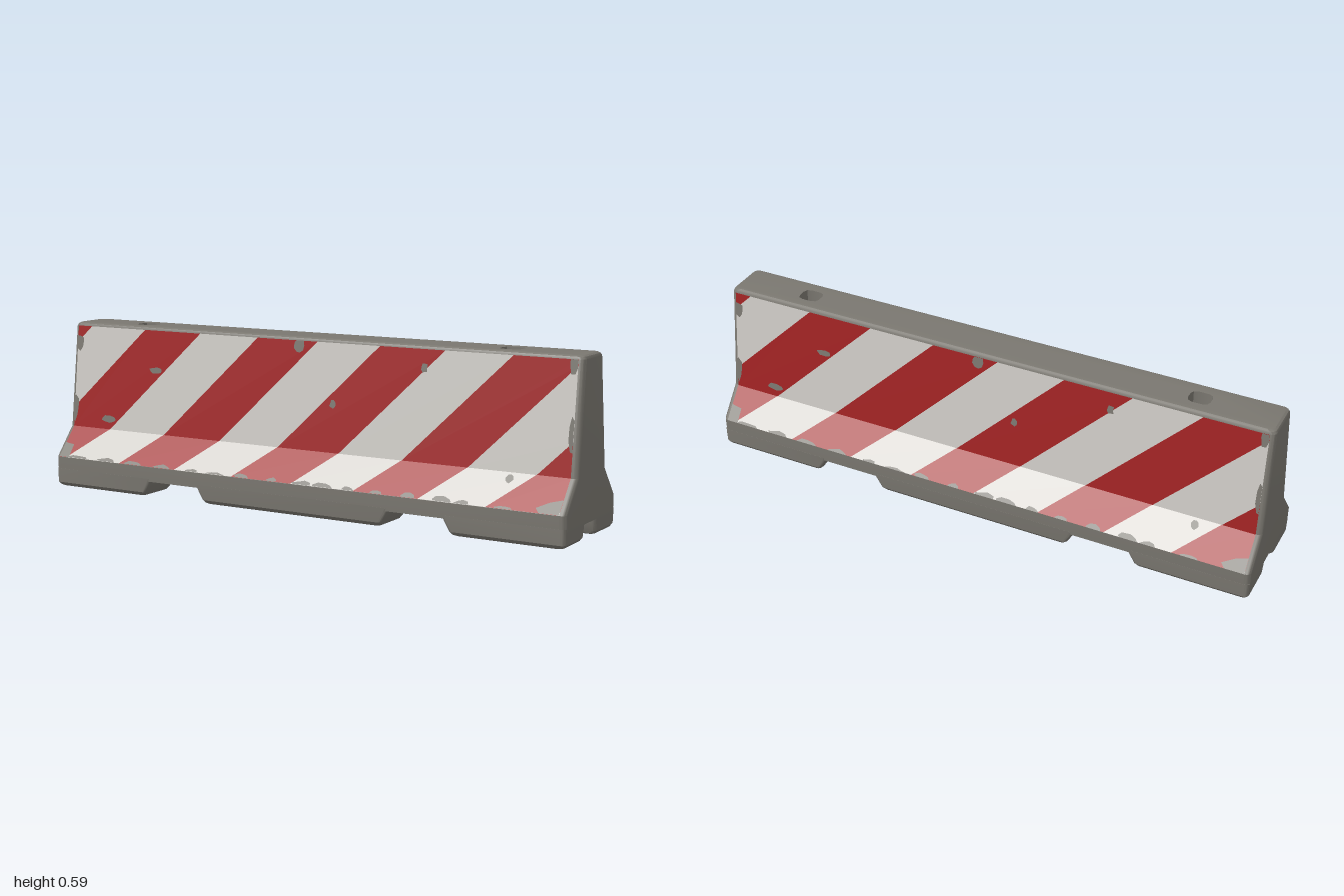
import * as THREE from 'three';
import { mergeGeometries, toCreasedNormals } from 'three/addons/utils/BufferGeometryUtils.js';

const paint = (name, color, side = THREE.FrontSide) => {
  const m = new THREE.MeshStandardMaterial({ color, side });
  m.name = name;
  return m;
};

const fromPoints = (points) => new THREE.BufferGeometry().setAttribute(
  'position', new THREE.Float32BufferAttribute(points.flat(), 3));

// Rounded rectangle in plan, as [x, z] points
function roundedRing(x0, x1, z0, z1, r, steps = 4) {
  const corners = [[x1 - r, z1 - r], [x0 + r, z1 - r], [x0 + r, z0 + r], [x1 - r, z0 + r]];
  return corners.flatMap(([cx, cz], q) => Array.from({ length: steps + 1 }, (_, k) => {
    const a = (q + k / steps) * Math.PI / 2;
    return [cx + r * Math.cos(a), cz + r * Math.sin(a)];
  }));
}

// Solid lofted upward through levels [y, x0, x1, z0, z1], with optional vertical holes
function loft(levels, radius, holes = []) {
  const points = [];
  const outer = levels.map(([y, ...box]) => ({ y, ring: roundedRing(...box, radius) }));
  const walls = [outer];
  for (const hole of holes) walls.push(levels.map(([y]) => ({ y, ring: hole })));
  for (const wall of walls) {
    for (let l = 0; l < wall.length - 1; l++) {
      const lo = wall[l], hi = wall[l + 1], n = lo.ring.length;
      for (let i = 0; i < n; i++) {
        const j = (i + 1) % n;
        const at = (level, k) => [level.ring[k][0], level.y, level.ring[k][1]];
        points.push(at(lo, i), at(hi, i), at(hi, j), at(lo, i), at(hi, j), at(lo, j));
      }
    }
  }
  // End caps
  const toV = (ring) => ring.map((p) => new THREE.Vector2(...p));
  for (const [cap, up] of [[outer[0], false], [outer[outer.length - 1], true]]) {
    const contour = toV(cap.ring), inner = holes.map(toV);
    const all = [contour, ...inner].flat();
    for (const [a, b, c] of THREE.ShapeUtils.triangulateShape(contour, inner)) {
      for (const k of up ? [a, c, b] : [a, b, c]) points.push([all[k].x, cap.y, all[k].y]);
    }
  }
  return toCreasedNormals(fromPoints(points), 0.5);
}

// Sloping faces that carry the paint: [y, z] from bottom to top
const FACE = [[0.108, 0.205], [0.21, 0.12], [0.576, 0.0795]];
const LOWER = Math.hypot(FACE[1][0] - FACE[0][0], FACE[1][1] - FACE[0][1]);
const TOTAL = LOWER + Math.hypot(FACE[2][0] - FACE[1][0], FACE[2][1] - FACE[1][1]);
const EDGE = 0.98;

// Point at x and distance s up the painted face, lifted off the surface
function onFace(x, s, strip, lift) {
  const [a, b] = [FACE[strip], FACE[strip + 1]];
  const start = strip ? LOWER : 0;
  const len = strip ? TOTAL - LOWER : LOWER;
  const t = (s - start) / len;
  const dy = (b[0] - a[0]) / len, dz = (b[1] - a[1]) / len;
  return [x, a[0] + (b[0] - a[0]) * t - dz * lift, a[1] + (b[1] - a[1]) * t + dy * lift];
}

// Cut a convex polygon of [x, s] points at x = limit
function clip(poly, limit, sign) {
  const out = [];
  poly.forEach((p, i) => {
    const q = poly[(i + 1) % poly.length];
    const dp = sign * (limit - p[0]), dq = sign * (limit - q[0]);
    if (dp >= 0) out.push(p);
    if (dp * dq < 0) {
      const t = dp / (dp - dq);
      out.push([limit, p[1] + (q[1] - p[1]) * t]);
    }
  });
  return out;
}

function fan(poly, strip, lift) {
  const points = [];
  for (let i = 1; i < poly.length - 1; i++) {
    for (const p of [poly[0], poly[i], poly[i + 1]]) points.push(onFace(...p, strip, lift));
  }
  return fromPoints(points);
}

// Diagonal bands on both slopes; offset selects red or white
function bands(offset) {
  const parts = [];
  for (let k = -3; k < 4; k++) {
    const x = -0.71 + offset + k * 0.48;
    for (const [strip, s0, s1] of [[0, 0, LOWER], [1, LOWER, TOTAL]]) {
      const lean = 1.02, w = 0.24;
      let poly = [[x + s0 * lean, s0], [x + w + s0 * lean, s0],
        [x + w + s1 * lean, s1], [x + s1 * lean, s1]];
      poly = clip(clip(poly, EDGE, 1), -EDGE, -1);
      if (poly.length > 2) parts.push(fan(poly, strip, 0.002));
    }
  }
  const g = mergeGeometries(parts);
  g.computeVertexNormals();
  return g;
}

// Worn spots where bare concrete shows through
function chips() {
  let seed = 7;
  const rand = () => (seed = (seed * 16807) % 2147483647) / 2147483647;
  const spots = [ // x, s, half width, half height
    [-0.03, 0.485, 0.025, 0.03], [-0.62, 0.36, 0.03, 0.012], [-0.82, 0.17, 0.035, 0.014],
    [0.115, 0.295, 0.014, 0.016], [0.45, 0.44, 0.014, 0.018], [0.78, 0.105, 0.014, 0.018],
    [-0.97, 0.44, 0.025, 0.03], [-0.98, 0.0, 0.05, 0.08], [0.98, 0.0, 0.09, 0.05],
    [-0.98, 0.2, 0.025, 0.05], [0.98, 0.27, 0.015, 0.06], [0.97, 0.5, 0.02, 0.05],
  ];
  for (let x = -0.9; x < 0.9; x += 0.11) spots.push([x + rand() * 0.08, 0, 0.02 + rand() * 0.03, 0.008 + rand() * 0.012]);
  const parts = spots.map(([x, s, w, h]) => {
    const strip = s < LOWER ? 0 : 1;
    const [s0, s1] = strip ? [LOWER, TOTAL] : [0, LOWER];
    const rim = Array.from({ length: 9 }, (_, i) => {
      const a = i / 9 * Math.PI * 2, r = 0.7 + 0.4 * rand();
      return [THREE.MathUtils.clamp(x + w * r * Math.cos(a), -EDGE, EDGE),
        THREE.MathUtils.clamp(s + h * r * Math.sin(a), s0, s1)];
    });
    return fan([[x, s], ...rim, rim[0]], strip, 0.004);
  });
  const g = mergeGeometries(parts);
  g.computeVertexNormals();
  return g;
}

export function createModel() {
  const concrete = paint('concrete grey', 0x7a7770);
  const white = paint('weathered white', 0xcdcac5, THREE.DoubleSide);
  const red = paint('warning red', 0xa12223, THREE.DoubleSide);
  const model = new THREE.Group();
  model.name = 'roadBarrier';
  const add = (parent, name, geometry, material) => {
    const mesh = new THREE.Mesh(geometry, material);
    mesh.name = name;
    parent.add(mesh);
  };

  // Main body with two vertical lifting holes
  const profile = [[0.055, 1, 0.203], [0.1, 1, 0.205], [0.108, 1, 0.205], [0.21, 1, 0.12],
    [0.576, 0.998, 0.0795], [0.584, 0.994, 0.076], [0.588, 0.987, 0.069]];
  const holes = [-0.72, 0.72].map((x) => roundedRing(x - 0.038, x + 0.038, -0.032, 0.032, 0.02, 2).reverse());
  add(model, 'body', loft(profile.map(([y, hx, hz]) => [y, -hx, hx, -hz, hz]), 0.02, holes), concrete);

  // Six feet, leaving a lengthwise channel and two cross slots
  for (const side of [1, -1]) {
    for (const [x0, x1] of [[-0.999, -0.57], [-0.385, 0.385], [0.57, 0.999]]) {
      const levels = [[0, 0.045, 0.022, 0.016], [0.004, 0.036, 0.014, 0.008],
        [0.014, 0.028, 0.01, 0.001], [0.045, 0.01, 0.002, 0], [0.065, 0, 0, 0]].map(([y, slot, inner, out]) => {
        const a = x0 + (x0 < -0.9 ? out : slot), b = x1 - (x1 > 0.9 ? out : slot);
        const zi = 0.038 + inner, zo = 0.204 - out;
        return side > 0 ? [y, a, b, zi, zo] : [y, a, b, -zo, -zi];
      });
      add(model, 'foot', loft(levels, 0.015), concrete);
    }
  }

  // Painted stripes, the same on both faces when turned around
  const shapes = { redStripes: [bands(0), red], whiteStripes: [bands(0.24), white], wornSpots: [chips(), concrete] };
  for (const [name, turn] of [['frontPaint', 0], ['backPaint', Math.PI]]) {
    const face = new THREE.Group();
    face.name = name;
    face.rotation.y = turn;
    for (const [part, [geometry, material]] of Object.entries(shapes)) add(face, part, geometry, material);
    model.add(face);
  }
  return model;
}
